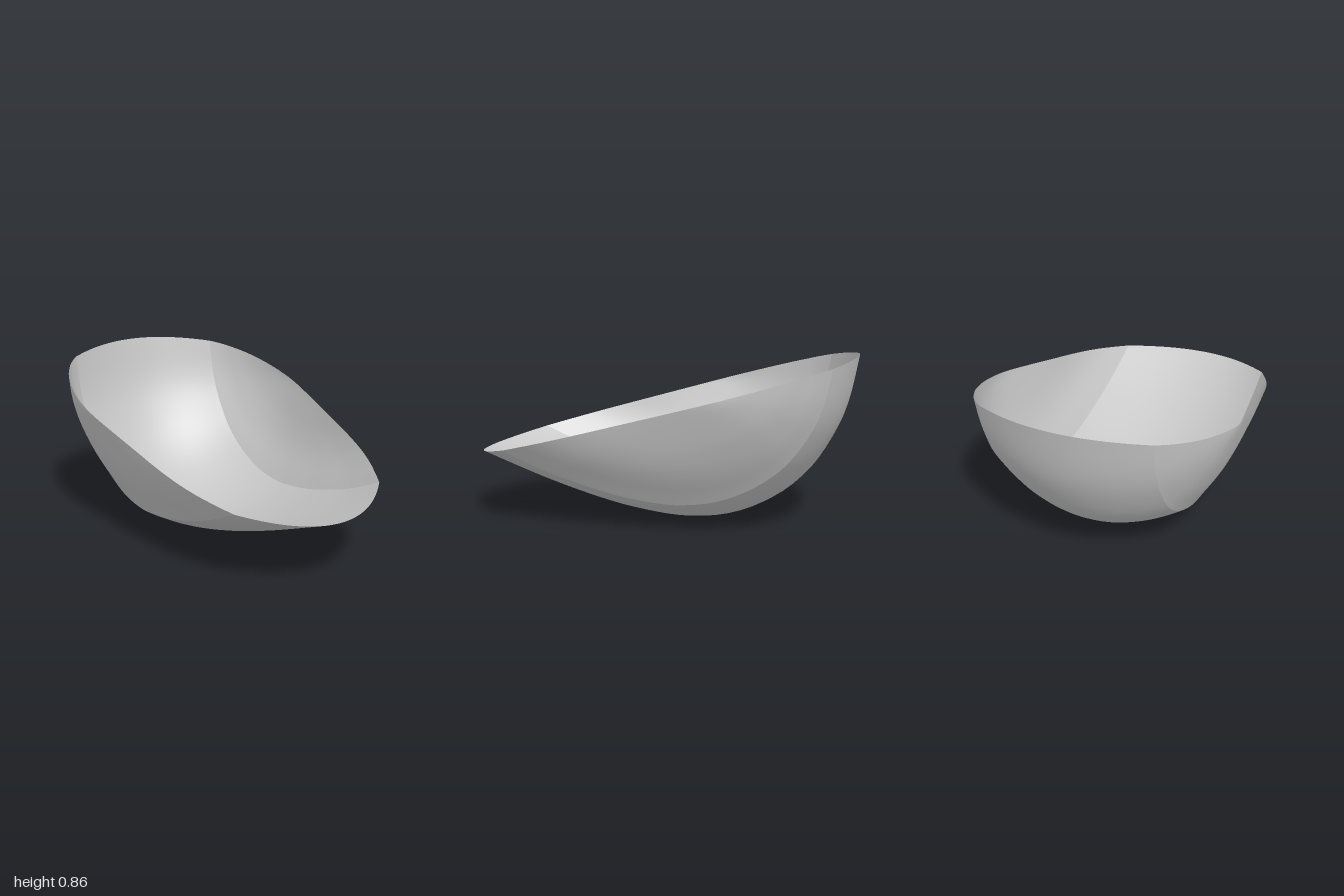
import * as THREE from 'three';

const ROWS = 40; // steps from front to back
const rim = (z) => 0.5975 - 0.2675 * z; // sloping plane of the open rim
const spline = (pts) => new THREE.SplineCurve(pts.map(([a, b]) => new THREE.Vector2(a, b)));

// Lengthwise profiles as (z, y): the middle line and the crease beside the floor
const keel = spline([[1, 0.33], [0.8, 0.252], [0.6, 0.176], [0.4, 0.108], [0.2, 0.052], [0, 0.014],
  [-0.15, 0.002], [-0.3, 0.013], [-0.45, 0.054], [-0.6, 0.132], [-0.7, 0.21], [-0.8, 0.322],
  [-0.9, 0.495], [-0.955, 0.645], [-1, 0.865]]).getSpacedPoints(ROWS);
const crease = spline([[0.78, 0.389], [0.63, 0.32], [0.47, 0.258], [0.2, 0.18], [0, 0.146],
  [-0.13, 0.139], [-0.3, 0.16], [-0.45, 0.216], [-0.57, 0.288], [-0.67, 0.38], [-0.77, 0.527],
  [-0.825, 0.665], [-0.86, 0.8276]]).getSpacedPoints(ROWS);
const creaseX = (i) => 0.427 + (0.018 * i) / ROWS;

// Side wall levels: x with the front end of the rim, then the back end with the depth
const front = spline([[0.436, 0.78], [0.47, 0.703], [0.51, 0.605], [0.545, 0.49], [0.575, 0.34],
  [0.602, 0.14], [0.628, -0.05], [0.645, -0.19], [0.651, -0.28]]);
const back = spline([[-0.86, 1], [-0.83, 0.89], [-0.785, 0.765], [-0.73, 0.64], [-0.675, 0.51],
  [-0.605, 0.375], [-0.51, 0.21], [-0.405, 0.08], [-0.32, 0]]);

// Grid surface from a function giving the point at column j, row i
function sheet(name, columns, point, material) {
  const positions = [], index = [];
  for (let j = 0; j <= columns; j++) {
    for (let i = 0; i <= ROWS; i++) {
      positions.push(...point(j / columns, i));
      if (j < columns && i < ROWS) {
        const a = j * (ROWS + 1) + i, b = a + ROWS + 1;
        index.push(a, b, a + 1, b, b + 1, a + 1);
      }
    }
  }
  const geometry = new THREE.BufferGeometry();
  geometry.setAttribute('position', new THREE.Float32BufferAttribute(positions, 3));
  geometry.setIndex(index);
  geometry.computeVertexNormals();
  const mesh = new THREE.Mesh(geometry, material);
  mesh.name = name;
  return mesh;
}

export function createModel() {
  const group = new THREE.Group();
  group.name = 'scoopedShell';
  const grey = new THREE.MeshStandardMaterial({ color: 0xc6c6c6, side: THREE.DoubleSide });
  grey.name = 'shellGrey';

  // Curved floor running up to the front and back of the rim
  group.add(sheet('floor', 24, (u, i) => {
    const s = u * 2 - 1;
    const p = keel[i].clone().lerp(crease[i], s * s);
    return [s * creaseX(i), p.y, p.x];
  }, grey));

  // Side walls shrink from the crease to the widest point of the rim
  for (const side of [1, -1]) {
    group.add(sheet(side > 0 ? 'leftWall' : 'rightWall', 24, (u, i) => {
      const f = front.getPoint(u), b = back.getPoint(u), c = crease[i];
      const t = (0.78 - c.x) / 1.64;
      const z = f.y + (b.x - f.y) * t;
      const x = f.x + (creaseX(i) - 0.436) * (1 - u) ** 4;
      return [side * x, rim(z) - (rim(c.x) - c.y) * b.y, z];
    }, grey));
  }
  return group;
}
